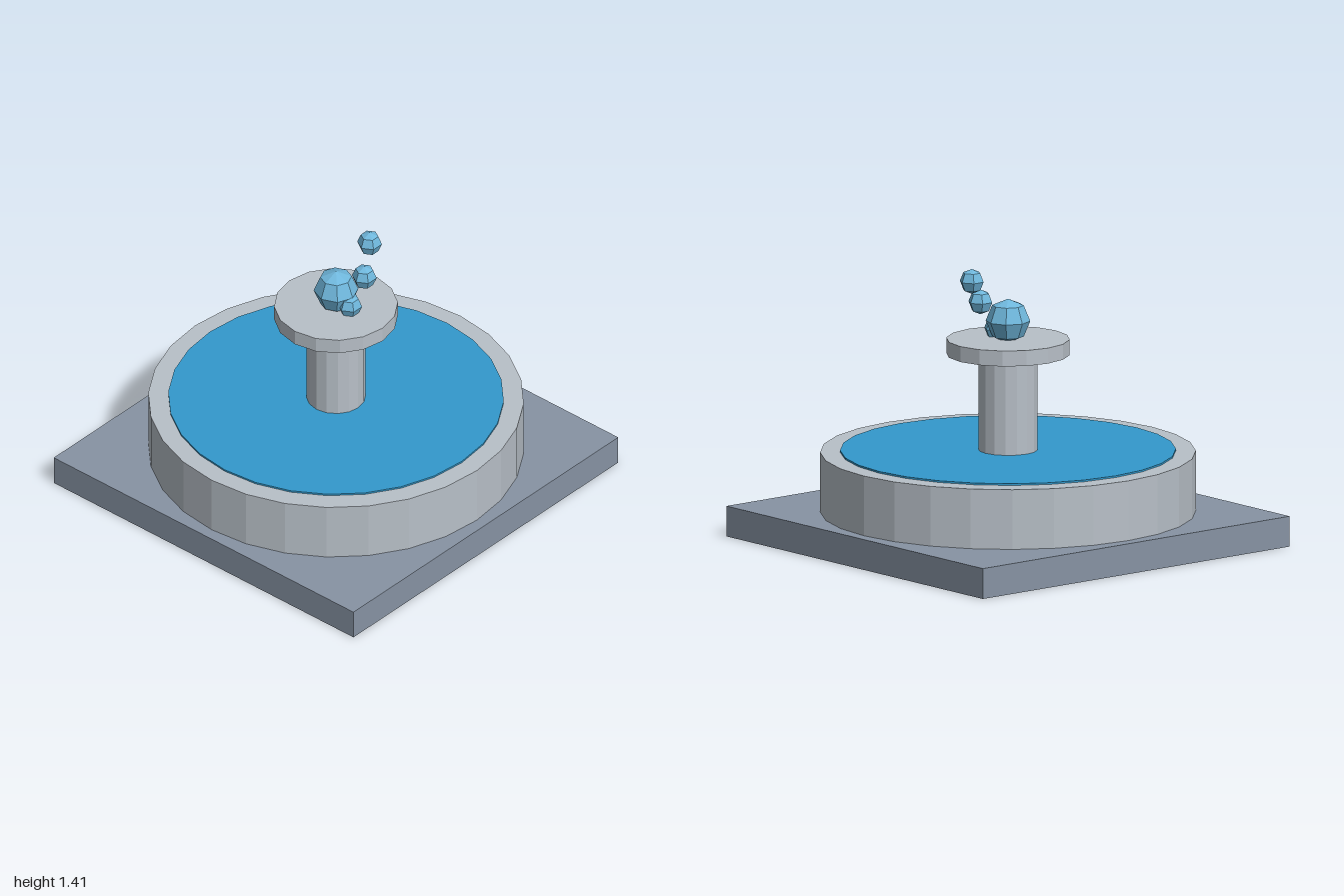
import * as THREE from 'three';

export function createModel() {
  const model = new THREE.Group();
  model.name = 'fountain';

  const material = (name, color) => {
    const m = new THREE.MeshStandardMaterial({ color, flatShading: true });
    m.name = name;
    return m;
  };
  const plinthStone = material('plinth stone', 0x8793a3);
  const paleStone = material('pale stone', 0xb8c0c8);
  const water = material('pool water', 0x3399cc);
  const spray = material('spray water', 0x6fb7dc);

  const add = (name, geometry, mat, x, y, z) => {
    const mesh = new THREE.Mesh(geometry, mat);
    mesh.name = name;
    mesh.position.set(x, y, z);
    model.add(mesh);
  };
  // Upright drum between two heights
  const drum = (name, radius, bottom, top, sides, mat) =>
    add(name, new THREE.CylinderGeometry(radius, radius, top - bottom, sides), mat, 0, (bottom + top) / 2, 0);

  // Square plinth
  add('plinth', new THREE.BoxGeometry(2, 0.155, 2), plinthStone, 0, 0.0775, 0);

  // Basin, pool surface, column and upper dish
  drum('basin', 0.94, 0.155, 0.46, 28, paleStone);
  drum('poolWater', 0.84, 0.461, 0.47, 28, water);
  drum('column', 0.148, 0.46, 0.96, 16, paleStone);
  drum('upperDish', 0.31, 0.958, 1.037, 16, paleStone);

  // Faceted water drops, turned so a corner points forward
  const drop = (name, radius, sides, x, y, z) =>
    add(name, new THREE.SphereGeometry(radius, sides, 4).rotateY(Math.PI / 2), spray, x, y, z);
  drop('waterJet', 0.112, 8, 0, 1.128, 0);
  drop('lowDrop', 0.063, 6, 0.092, 1.075, 0);
  drop('middleDrop', 0.063, 6, 0.115, 1.217, -0.084);
  drop('highDrop', 0.063, 6, 0.06, 1.344, -0.186);

  return model;
}
